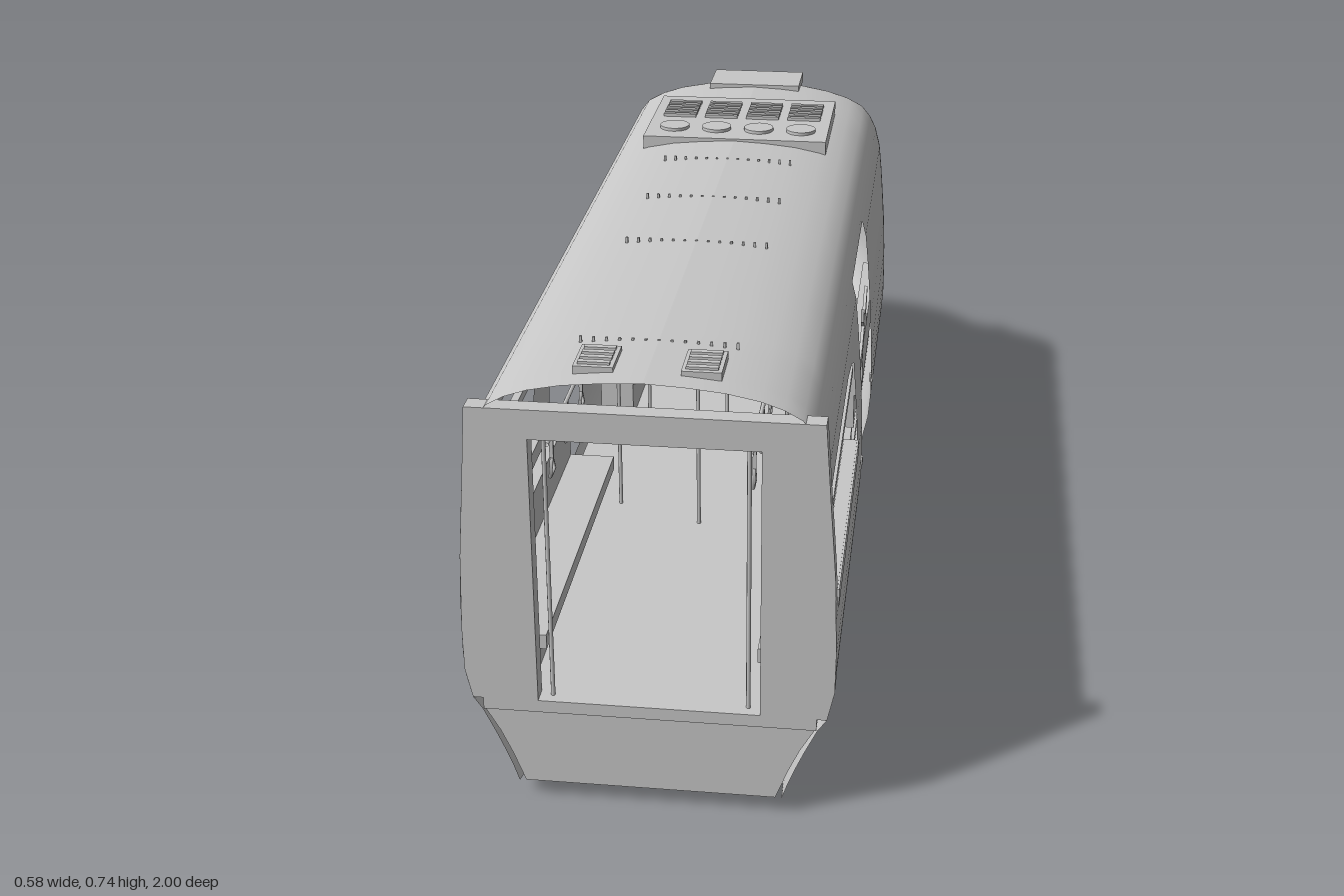
import * as THREE from 'three';

const grey = new THREE.MeshStandardMaterial({ color: 0xc8c8c8, side: THREE.DoubleSide });
grey.name = 'body grey';

// Hull rows: height, half width, nose length in front of the straight body
const ROWS = [
  [0, .2, 0], [.03, .208, .02], [.06, .218, .06], [.09, .23, .115], [.12, .243, .2], [.16, .262, .33],
  [.18, .276, .38], [.22, .285, .42], [.26, .288, .44], [.3, .288, .445], [.36, .287, .42],
  [.43, .284, .37], [.5, .279, .3], [.55, .275, .245], [.6, .27, .185], [.64, .26, .14],
  [.665, .248, .115], [.685, .232, .095], [.7, .205, .08], [.712, .17, .065], [.722, .12, .05],
  [.728, .06, .03], [.731, 0, 0]];
const NOSE_Z = -.555;

function rowAt(y) {
  const next = ROWS.findIndex(r => r[0] > y);
  if (next < 0) return ROWS[ROWS.length - 1];
  const [a, b] = [ROWS[next - 1], ROWS[next]], t = (y - a[0]) / (b[0] - a[0]);
  return a.map((v, k) => v + (b[k] - v) * t);
}
// The lower edge curves up a little towards both ends
const lowerEdge = z => .03 * Math.min(1, Math.max(0, (z - .8) / .2, (-.35 - z) / .2)) ** 1.6;

// Convex openings, measured along two axes (0 = x, 2 = z, against y)
const OPENINGS = [
  { u: 2, pts: [[0, .18], [.315, .18], [.315, .63], [0, .63]] },
  { u: 2, pts: [[.46, .395], [.97, .395], [.97, .565], [.58, .565], [.5, .555], [.46, .54]] },
  { u: 2, pts: [[-.58, .38], [-.745, .38], [-.58, .55]] },
  { u: 0, nose: true, pts: [[-.2, .435], [.2, .435], [.2, .6], [.175, .635], [-.175, .635], [-.2, .6]] }];

// Split a polygon by a signed distance into its positive and negative parts
function split(poly, dist) {
  const pos = [], neg = [];
  poly.forEach((p, i) => {
    const q = poly[(i + 1) % poly.length], a = dist(p), b = dist(q);
    (a >= 0 ? pos : neg).push(p);
    if ((a >= 0) !== (b >= 0)) {
      const m = p.map((v, k) => v + (q[k] - v) * a / (a - b));
      pos.push(m); neg.push(m);
    }
  });
  return [pos, neg];
}
function cut(poly, { u, nose, pts }) {
  if (nose && poly.some(p => p[2] > NOSE_Z + .001)) return [poly];
  const [cx, cy] = [0, 1].map(k => pts.reduce((s, p) => s + p[k], 0) / pts.length);
  const kept = [];
  let rest = poly;
  pts.forEach((a, i) => {
    if (rest.length < 3) return;
    const b = pts[(i + 1) % pts.length];
    const side = (x, y) => (b[0] - a[0]) * (y - a[1]) - (b[1] - a[1]) * (x - a[0]);
    const s = -Math.sign(side(cx, cy));
    const [out, inside] = split(rest, p => s * side(p[u], p[1]));
    if (out.length > 2) kept.push(out);
    rest = inside;
  });
  return kept;
}

// One skin running down the left side, round the nose and back up the right side
function hullGeometry() {
  const zs = [1, .95, .9, .85, .8, .6, .4, .2, 0, -.2, -.35, -.42, -.49], cols = zs.map(z => ({ z, s: 1 }));
  for (let i = 0; i <= 40; i++) cols.push({ t: i / 40 * Math.PI });
  zs.slice().reverse().forEach(z => cols.push({ z, s: -1 }));
  const pos = [], idx = [], n = cols.length;
  for (const [y0] of ROWS) for (const c of cols) {
    const y = Math.max(y0, lowerEdge(c.z ?? NOSE_Z)), [, w, d] = rowAt(y);
    if (c.s) pos.push(w * c.s, y, c.z);
    else pos.push(w * Math.cos(c.t), y, NOSE_Z - d * Math.sin(c.t));
  }
  for (let j = 0; j < ROWS.length - 1; j++) for (let i = 0; i < n - 1; i++) {
    const a = j * n + i;
    idx.push(a, a + 1, a + n + 1, a, a + n + 1, a + n);
  }
  const grid = new THREE.BufferGeometry();
  grid.setAttribute('position', new THREE.Float32BufferAttribute(pos, 3));
  grid.setIndex(idx);
  grid.computeVertexNormals();
  const nor = grid.attributes.normal.array, P = [], N = [];
  const vert = i => [...pos.slice(i * 3, i * 3 + 3), ...nor.slice(i * 3, i * 3 + 3)];
  const A = new THREE.Vector3(), B = new THREE.Vector3(), C = new THREE.Vector3();
  for (let k = 0; k < idx.length; k += 3) {
    let polys = [[vert(idx[k]), vert(idx[k + 1]), vert(idx[k + 2])]];
    for (const o of OPENINGS) polys = polys.flatMap(p => cut(p, o));
    for (const p of polys) for (let i = 1; i < p.length - 1; i++) {
      const tri = [p[0], p[i], p[i + 1]];
      A.fromArray(tri[0]); B.fromArray(tri[1]).sub(A); C.fromArray(tri[2]).sub(A);
      if (B.cross(C).length() < 1e-9) continue;
      for (const v of tri) { P.push(v[0], v[1], v[2]); N.push(v[3], v[4], v[5]); }
    }
  }
  const g = new THREE.BufferGeometry();
  g.setAttribute('position', new THREE.Float32BufferAttribute(P, 3));
  g.setAttribute('normal', new THREE.Float32BufferAttribute(N, 3));
  return g;
}

export function createModel() {
  const model = new THREE.Group();
  model.name = 'railcar';
  const add = (name, geo) => {
    const m = new THREE.Mesh(geo, grey);
    m.name = name;
    model.add(m);
  };
  // Box given by its lower and upper limits
  const box = (name, x0, x1, y0, y1, z0, z1) => add(name,
    new THREE.BoxGeometry(Math.abs(x1 - x0), y1 - y0, z1 - z0).translate((x0 + x1) / 2, (y0 + y1) / 2, (z0 + z1) / 2));
  const rod = (name, a, b, r = .0035) => add(name,
    new THREE.TubeGeometry(new THREE.LineCurve3(new THREE.Vector3(...a), new THREE.Vector3(...b)), 1, r, 8));
  const toVectors = pts => pts.map(p => new THREE.Vector2(...p));
  const plate = (name, pts, z, depth, hole) => {
    const s = new THREE.Shape(toVectors(pts));
    if (hole) s.holes.push(new THREE.Path(toVectors(hole)));
    add(name, new THREE.ExtrudeGeometry(s, { depth, bevelEnabled: false }).translate(0, 0, z));
  };
  const mirrored = half => [...half, ...half.slice().reverse().map(([x, y]) => [-x, y])];

  add('hull', hullGeometry());

  // End wall, skirt and floor
  plate('endFrame', mirrored([[.276, .18], [.287, .23], [.288, .3], [.284, .43], [.275, .55], [.266, .68]]),
    .97, .03, [[-.173, .181], [-.173, .632], [.173, .632], [.173, .181]]);
  plate('endSkirt', mirrored([[.198, .03], [.217, .08], [.235, .12], [.258, .16]]), .985, .013);
  box('floor', -.26, .26, .16, .18, -.55, 1);
  box('cabFloor', -.2, .2, .165, .18, -.74, -.55);

  // Driver's console and windscreen wiper
  box('console', -.15, .15, .18, .262, -.8, -.73);
  box('consoleTop', -.19, .19, .262, .277, -.815, -.73);
  rod('wiperArm', [0, .44, -.925], [.055, .565, -.79], .0025);
  rod('wiperBlade', [.035, .588, -.775], [.076, .54, -.8], .0025);

  // Centre poles with cross rails, and the hanging sign
  for (const z of [.4, -.04]) {
    rod('centrePole', [0, .18, z], [0, .605, z]);
    rod('crossRail', [-.17, .605, z], [.17, .605, z]);
  }
  box('hangingSign', -.062, .062, .598, .635, .38, .4);

  for (const s of [1, -1]) {
    // Lip along the lower edge
    box('lowerLip', s * .191, s * .202, 0, .012, -.38, .85);
    // Benches, poles and rails
    for (const [z0, z1] of [[.34, .96], [-.48, -.03]]) {
      box('benchBase', s * .19, s * .255, .18, .25, z0, z1);
      box('benchSeat', s * .165, s * .265, .25, .275, z0, z1);
      box('benchBack', s * .245, s * .27, .275, .36, z0, z1);
      for (const z of [z0, z1 + .02]) rod('sidePole', [s * .153, .18, z], [s * .153, .625, z]);
      rod('handRail', [s * .153, .605, z0], [s * .153, .605, z1]);
    }
    // Hanging handles
    for (const z of [.92, .8, .68, .56]) {
      box('handleStrap', s * .151, s * .157, .565, .605, z - .003, z + .003);
      add('handle', new THREE.TorusGeometry(.018, .003, 6, 3).rotateZ(Math.PI / 2).rotateY(Math.PI / 2)
        .translate(s * .154, .548, z));
    }
    // Window sill and divider
    box('windowSill', s * .262, s * .2885, .366, .394, .46, .97);
    box('windowDivider', s * .262, s * .275, .52, .535, .46, .97);
    // Sagging barrier straps across the doorway
    for (const pts of [[[.315, .48], [.24, .432], [.16, .414], [.09, .432], [0, .485]],
      [[.108, .48], [.06, .448], [0, .428]]]) {
      const curve = new THREE.SplineCurve(toVectors(pts)).getPoints(16);
      const strap = new THREE.Shape([...curve.map(p => new THREE.Vector2(-p.x, p.y + .013)),
        ...curve.slice().reverse().map(p => new THREE.Vector2(-p.x, p.y - .013))]);
      add('doorStrap', new THREE.ExtrudeGeometry(strap, { depth: .006, bevelEnabled: false })
        .rotateY(Math.PI / 2).translate(s * .273 - .003, 0, 0));
    }
    // Door buttons
    for (const z of [.335, -.03]) box('doorButton', s * .284, s * .291, .284, .3, z - .004, z + .004);
    // Roof vents
    box('roofVent', s * .05, s * .11, .712, .736, .88, .96);
    for (let i = 0; i < 4; i++) box('ventSlat', s * .056, s * .104, .736, .74, .888 + i * .018, .898 + i * .018);
  }

  // Roof cooling unit with fans and grilles
  box('coolingUnit', -.18, .18, .708, .735, -.43, -.15);
  for (const x of [-.126, -.042, .042, .126]) {
    add('fan', new THREE.CylinderGeometry(.029, .029, .006, 20).translate(x, .738, -.215));
    for (let i = 0; i < 6; i++) box('grilleBar', x - .033, x + .033, .735, .741, -.385 + i * .018, -.375 + i * .018);
  }
  box('antennaBox', -.095, .095, .716, .736, -.64, -.53);

  // Rows of small roof studs
  for (const z of [.84, .41, .18, -.04])
    for (let i = -6; i <= 6; i++) box('roofStud', i * .02 - .002, i * .02 + .002, .718, .732, z - .002, z + .002);

  return model;
}
